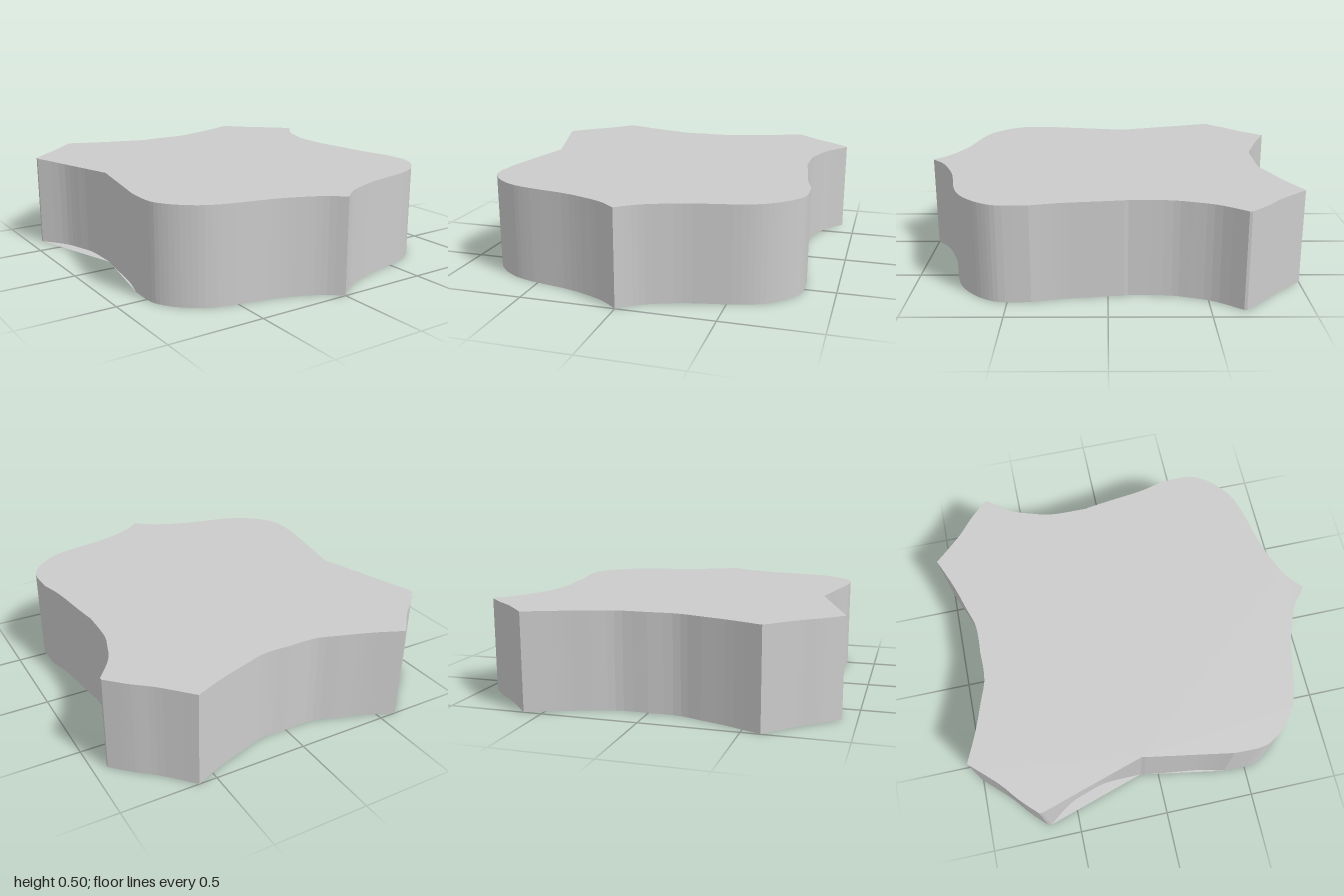
import * as THREE from 'three';

const HEIGHT = 0.505;

// Half of the shield outline as [x, z] curve pieces; sharp corners lie between pieces
const pieces = {
  backScoop: [[0, -0.84], [0.15, -0.84], [0.28, -0.88], [0.43, -0.93], [0.595, -1]],
  shoulder: [[0.595, -1], [0.73, -0.855], [0.83, -0.77], [0.925, -0.675]],
  waist: [[0.925, -0.66], [0.83, -0.53], [0.785, -0.41], [0.757, -0.3], [0.752, -0.1]],
  flank: [[0.757, -0.08], [0.775, 0.05], [0.8, 0.24], [0.835, 0.38]],
  belly: [[0.835, 0.38], [0.835, 0.53], [0.8, 0.615], [0.735, 0.69], [0.65, 0.75],
    [0.535, 0.79], [0.32, 0.835], [0.19, 0.88], [0.085, 0.93], [0, 1]],
};

const sample = (points, divisions) =>
  new THREE.SplineCurve(points.map(([x, z]) => new THREE.Vector2(x, z))).getPoints(divisions);

// Joins the sampled pieces; chords keeps only the end points of the concave side
function halfOutline(chords) {
  const out = [];
  for (const [name, points] of Object.entries(pieces)) {
    const straight = chords && (name === 'waist' || name === 'flank');
    const pts = straight
      ? [points[0], points[points.length - 1]].map(([x, z]) => new THREE.Vector2(x, z))
      : sample(points, name === 'belly' ? 32 : 14);
    for (const p of pts) if (!out.length || out[out.length - 1].distanceTo(p) > 1e-4) out.push(p);
  }
  return out;
}

// Closed loop: +x side from back to front, then the mirrored side back again
function fullOutline(chordsOnMirroredSide) {
  const mirrored = halfOutline(chordsOnMirroredSide).slice(1, -1).reverse()
    .map((p) => new THREE.Vector2(-p.x, p.y));
  return [...halfOutline(false), ...mirrored];
}

// Upright facets around the outline
function wallGeometry(loop) {
  const positions = [];
  loop.forEach((a, i) => {
    const b = loop[(i + 1) % loop.length];
    positions.push(
      a.x, 0, a.y, a.x, HEIGHT, a.y, b.x, HEIGHT, b.y,
      a.x, 0, a.y, b.x, HEIGHT, b.y, b.x, 0, b.y,
    );
  });
  const geometry = new THREE.BufferGeometry();
  geometry.setAttribute('position', new THREE.Float32BufferAttribute(positions, 3));
  geometry.computeVertexNormals();
  return geometry;
}

export function createModel() {
  const group = new THREE.Group();
  group.name = 'shieldPlate';
  const material = new THREE.MeshStandardMaterial({
    color: 0xcccccc, flatShading: true, side: THREE.DoubleSide,
  });

  const add = (name, geometry) => {
    const mesh = new THREE.Mesh(geometry, material);
    mesh.name = name;
    group.add(mesh);
    return mesh;
  };

  add('sideWall', wallGeometry(fullOutline(false)));

  // Both caps bridge straight across the waist on the -x side
  const capLoop = fullOutline(true);
  const flipped = capLoop.map((p) => new THREE.Vector2(p.x, -p.y));
  add('topFace', new THREE.ShapeGeometry(new THREE.Shape(flipped)).rotateX(-Math.PI / 2))
    .position.y = HEIGHT;
  add('bottomFace', new THREE.ShapeGeometry(new THREE.Shape(capLoop)).rotateX(Math.PI / 2));

  return group;
}
